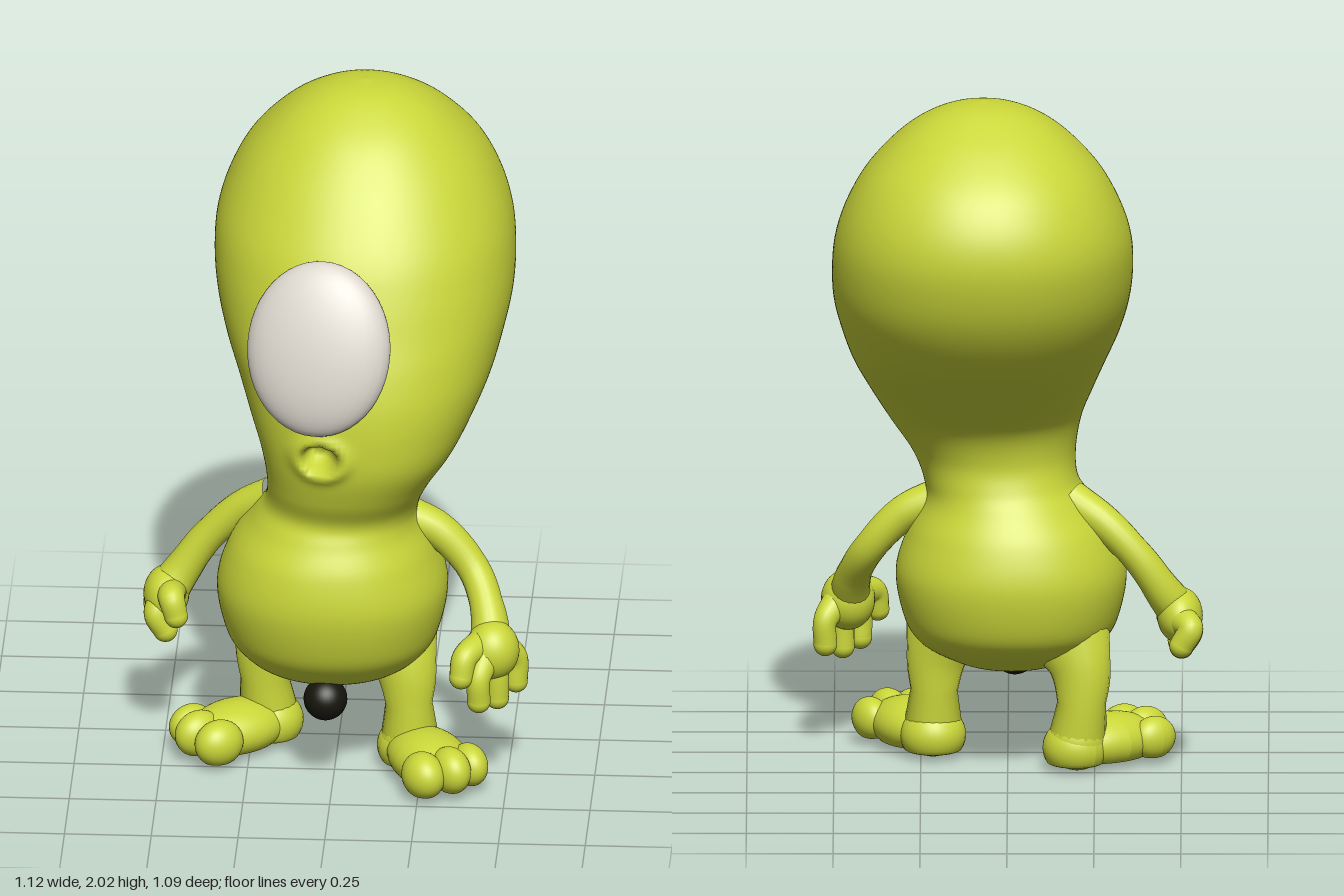
import * as THREE from 'three';

const lime = new THREE.MeshStandardMaterial({ color: 0xcad639 });
lime.name = 'lime skin';
const white = new THREE.MeshStandardMaterial({ color: 0xddd8ce });
white.name = 'eye white';
const black = new THREE.MeshStandardMaterial({ color: 0x16150c });
black.name = 'black';

const V = (p) => new THREE.Vector3(...p);

function add(parent, name, geometry, material = lime) {
  const mesh = new THREE.Mesh(geometry, material);
  mesh.name = name;
  parent.add(mesh);
  return mesh;
}

function ball(parent, name, pos, radii, material = lime) {
  const mesh = add(parent, name, new THREE.SphereGeometry(1, 32, 24), material);
  mesh.position.set(...pos);
  mesh.scale.set(...radii);
  return mesh;
}

// Tapered tube through points, with a rounded far end
function limb(parent, name, points, radii) {
  const curve = new THREE.CatmullRomCurve3(points.map(V));
  const n = 24, m = 20;
  const geo = new THREE.TubeGeometry(curve, n, 1, m);
  const pos = geo.attributes.position, v = new THREE.Vector3();
  for (let i = 0; i <= n; i++) {
    const c = curve.getPointAt(i / n);
    const f = (i / n) * (radii.length - 1), k = Math.min(Math.floor(f), radii.length - 2);
    const r = THREE.MathUtils.lerp(radii[k], radii[k + 1], f - k);
    for (let j = 0; j <= m; j++) {
      const id = i * (m + 1) + j;
      v.fromBufferAttribute(pos, id).sub(c).multiplyScalar(r).add(c);
      pos.setXYZ(id, v.x, v.y, v.z);
    }
  }
  add(parent, name, geo);
  const r = radii[radii.length - 1];
  ball(parent, name + 'End', points[points.length - 1], [r, r, r]);
}

// Rows of the body: height, centre x, half width, front z, back z
const rows = [
  [0.26, -0.01, 0.001, 0.161, 0.159],
  [0.268, -0.01, 0.11, 0.27, 0.07],
  [0.3, -0.01, 0.2, 0.36, 0.0],
  [0.35, -0.01, 0.27, 0.42, -0.09],
  [0.42, -0.01, 0.31, 0.465, -0.14],
  [0.55, -0.01, 0.332, 0.495, -0.163],
  [0.67, -0.01, 0.295, 0.48, -0.135],
  [0.76, 0.0, 0.24, 0.44, -0.085],
  [0.82, 0.02, 0.222, 0.423, -0.055],
  [0.9, 0.04, 0.236, 0.462, -0.042],
  [1.0, 0.065, 0.278, 0.497, -0.08],
  [1.1, 0.075, 0.323, 0.505, -0.19],
  [1.2, 0.08, 0.365, 0.498, -0.32],
  [1.3, 0.077, 0.4, 0.475, -0.42],
  [1.4, 0.075, 0.425, 0.44, -0.49],
  [1.5, 0.072, 0.433, 0.405, -0.53],
  [1.6, 0.07, 0.425, 0.362, -0.545],
  [1.7, 0.07, 0.393, 0.3, -0.525],
  [1.8, 0.07, 0.338, 0.225, -0.467],
  [1.89, 0.07, 0.257, 0.14, -0.372],
  [1.95, 0.07, 0.178, 0.055, -0.28],
  [1.987, 0.07, 0.092, -0.025, -0.2],
  [2.0, 0.07, 0.001, -0.11, -0.112],
];

// Belly, neck and leaning head as one loft, with the mouth pressed in
function bodyGeometry() {
  const spline = (pts) => new THREE.CatmullRomCurve3(pts.map(V), false, 'catmullrom', 0.5);
  const across = spline(rows.map(([y, cx, rx]) => [cx, y, rx]));
  const along = spline(rows.map(([y, , , f, b]) => [(f + b) / 2, y, (f - b) / 2]));
  const n = 154, m = 150, pos = [], index = [];
  const round = (s) => Math.sign(s) * Math.pow(Math.abs(s), 0.93);
  for (let i = 0; i <= n; i++) {
    const a = across.getPoint(i / n), b = along.getPoint(i / n);
    for (let j = 0; j < m; j++) {
      const t = (j / m) * Math.PI * 2;
      const x = a.x + a.z * round(Math.cos(t));
      let z = b.x + b.z * round(Math.sin(t));
      if (z > 0.2) {
        const d = Math.hypot((x + 0.03) / 0.055, (a.y - 1.06) / 0.043);
        z -= 0.075 * (1 - THREE.MathUtils.smoothstep(d, 0.45, 1.1));
        z += 0.014 * Math.exp(-Math.pow((d - 1.35) / 0.4, 2));
      }
      pos.push(x, a.y, z);
      if (i < n) {
        const p = i * m + j, q = i * m + (j + 1) % m;
        index.push(p, p + m, q, q, p + m, q + m);
      }
    }
  }
  const geo = new THREE.BufferGeometry();
  geo.setAttribute('position', new THREE.Float32BufferAttribute(pos, 3));
  geo.setIndex(index);
  geo.computeVertexNormals();
  return geo;
}

// Flat-soled lump of the foot
function footLump(parent, name, [x, y, z], [rx, ry, rz]) {
  const geo = new THREE.SphereGeometry(1, 32, 24);
  geo.scale(rx, ry, rz).translate(x, y, z);
  const p = geo.attributes.position;
  for (let i = 0; i < p.count; i++) p.setY(i, Math.max(p.getY(i), 0.004));
  geo.computeVertexNormals();
  add(parent, name, geo);
}

// Foot pointing along its own +z; side is +1 when the outer toe is at +x
function foot(parent, name, x, z, turn, side) {
  const g = new THREE.Group();
  g.name = name;
  g.position.set(x, 0, z);
  g.rotation.y = turn;
  footLump(g, 'heel', [0, 0.05, 0.0], [0.095, 0.085, 0.095]);
  footLump(g, 'instep', [0, 0.055, 0.12], [0.108, 0.08, 0.16]);
  footLump(g, 'innerToe', [-0.075 * side, 0.06, 0.235], [0.06, 0.068, 0.075]);
  footLump(g, 'middleToe', [0.005 * side, 0.066, 0.25], [0.055, 0.068, 0.075]);
  footLump(g, 'outerToe', [0.078 * side, 0.06, 0.225], [0.05, 0.062, 0.07]);
  parent.add(g);
}

export function createModel() {
  const model = new THREE.Group();
  model.name = 'oneEyedAlien';
  add(model, 'bodyAndHead', bodyGeometry());

  // Single large eye, set into the leaning face
  const eye = ball(model, 'eye', [-0.035, 1.385, 0.428], [0.212, 0.255, 0.088], white);
  eye.rotation.set(-0.28, -0.2, 0, 'YXZ');

  ball(model, 'blackBall', [-0.02, 0.255, 0.357], [0.063, 0.063, 0.063], black);

  // Legs and feet, mid-step
  limb(model, 'leftLeg', [[0.17, 0.4, 0.18], [0.205, 0.28, 0.2], [0.212, 0.18, 0.205], [0.215, 0.07, 0.21]],
    [0.13, 0.09, 0.068, 0.085]);
  foot(model, 'leftFoot', 0.215, 0.205, 0.52, 1);
  limb(model, 'rightLeg', [[-0.17, 0.4, 0.06], [-0.21, 0.28, 0.045], [-0.212, 0.18, 0.04], [-0.2, 0.07, 0.04]],
    [0.13, 0.09, 0.07, 0.085]);
  foot(model, 'rightFoot', -0.195, 0.045, -0.9, -1);

  // Left arm and hand
  limb(model, 'leftArm', [[0.19, 0.76, 0.17], [0.3, 0.71, 0.175], [0.4, 0.6, 0.2], [0.445, 0.5, 0.28], [0.455, 0.43, 0.33]],
    [0.06, 0.052, 0.047, 0.048, 0.06]);
  ball(model, 'leftPalm', [0.46, 0.415, 0.345], [0.078, 0.088, 0.08]);
  const leftTips = [[0.425, 0.285, 0.42], [0.475, 0.272, 0.36], [0.525, 0.295, 0.29]];
  for (const [x, y, z] of leftTips) {
    limb(model, 'leftFinger', [[x * 0.5 + 0.23, 0.41, z * 0.5 + 0.172], [x, y + 0.07, z], [x, y, z]], [0.045, 0.034, 0.034]);
  }
  limb(model, 'leftThumb', [[0.43, 0.44, 0.36], [0.385, 0.42, 0.42], [0.375, 0.365, 0.435]], [0.045, 0.038, 0.034]);

  // Right arm and hand
  limb(model, 'rightArm', [[-0.18, 0.77, 0.09], [-0.28, 0.71, 0.05], [-0.38, 0.61, 0.03], [-0.45, 0.51, 0.035], [-0.485, 0.46, 0.05]],
    [0.06, 0.052, 0.047, 0.05, 0.06]);
  ball(model, 'rightPalm', [-0.495, 0.44, 0.05], [0.066, 0.08, 0.095]);
  const rightTips = [[-0.5, 0.37, -0.04], [-0.5, 0.35, 0.035], [-0.495, 0.35, 0.11]];
  for (const [x, y, z] of rightTips) {
    limb(model, 'rightFinger', [[-0.5, 0.44, z * 0.6 + 0.02], [x - 0.025, y + 0.05, z], [x, y, z]], [0.045, 0.037, 0.035]);
  }
  limb(model, 'rightThumb', [[-0.48, 0.46, 0.09], [-0.475, 0.46, 0.14], [-0.462, 0.41, 0.148]], [0.045, 0.038, 0.034]);

  return model;
}
